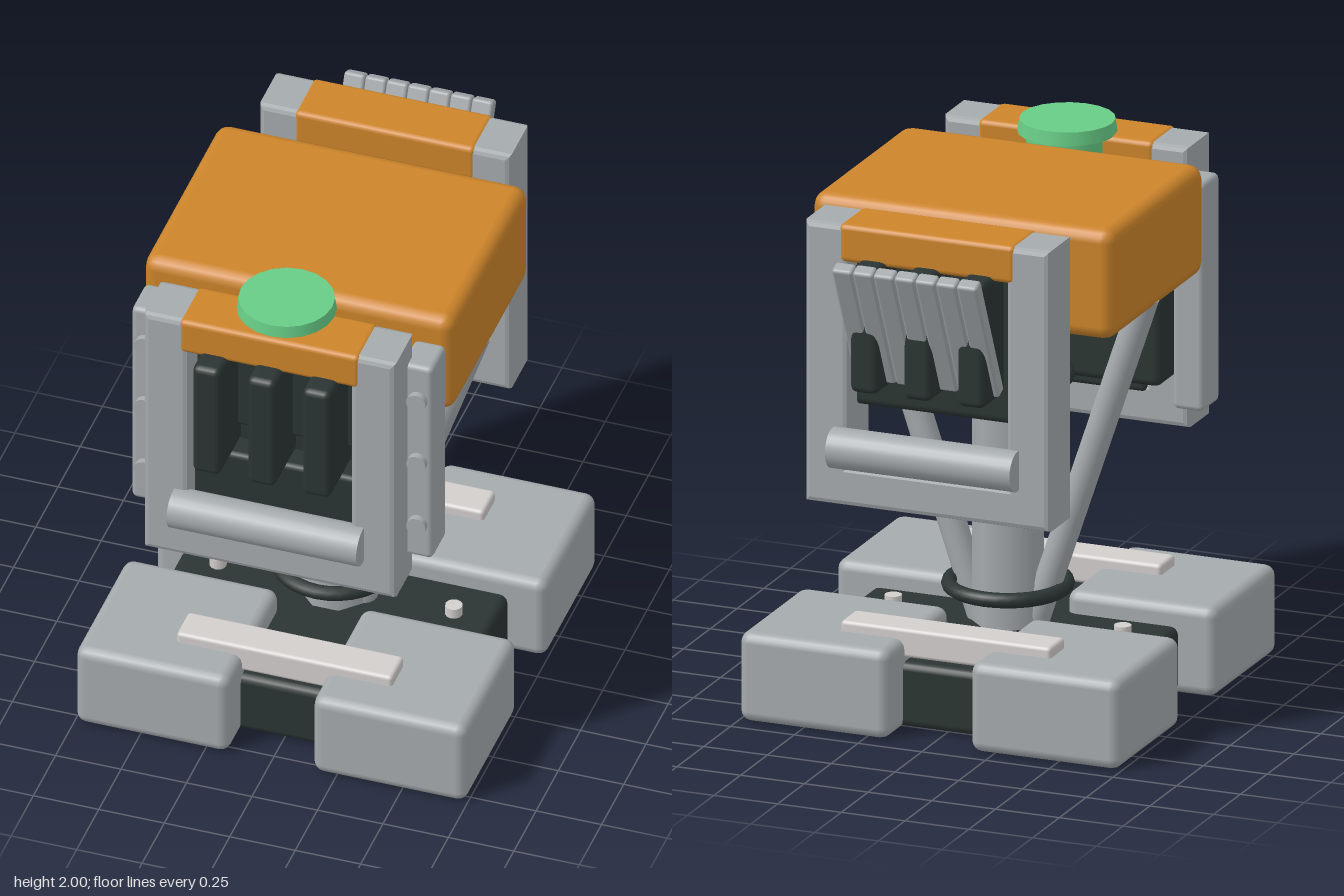
import * as THREE from 'three';
import { RoundedBoxGeometry } from 'three/addons/geometries/RoundedBoxGeometry.js';

const mat = (name, color) => {
  const m = new THREE.MeshStandardMaterial({ color });
  m.name = name;
  return m;
};

export function createModel() {
  const grey = mat('grey metal', 0xa5aaad);
  const orange = mat('orange paint', 0xcc842a);
  const dark = mat('dark rubber', 0x2b3533);
  const green = mat('green button', 0x67cc86);
  const pale = mat('pale trim', 0xd2cecc);
  const model = new THREE.Group();
  const CZ = 0.055; // centre line of base, column and head

  const add = (name, geo, material, x = 0, y = 0, z = 0, parent = model) => {
    const m = new THREE.Mesh(geo, material);
    m.name = name;
    m.position.set(x, y, z);
    parent.add(m);
    return m;
  };
  // chamfered box given by its limits on each axis
  const block = (name, material, x0, x1, y0, y1, z0, z1, r = 0.02, parent = model) =>
    add(name, new RoundedBoxGeometry(x1 - x0, y1 - y0, z1 - z0, 2, r), material,
      (x0 + x1) / 2, (y0 + y1) / 2, (z0 + z1) / 2, parent);
  // round bar between two points
  const rod = (name, a, b, r, material, parent = model) => {
    const dir = b.clone().sub(a);
    const mid = a.clone().add(b).multiplyScalar(0.5);
    const m = add(name, new THREE.CylinderGeometry(r, r, dir.length(), 16), material, mid.x, mid.y, mid.z, parent);
    m.quaternion.setFromUnitVectors(new THREE.Vector3(0, 1, 0), dir.normalize());
    return m;
  };

  // base with four feet and two cross strips
  block('base', dark, -0.6, 0.6, 0.01, 0.255, CZ - 0.6, CZ + 0.6, 0.03);
  for (const sz of [-1, 1]) {
    for (const sx of [-1, 1]) {
      const x = sx * 0.453, z = CZ + sz * 0.452;
      block('foot', grey, x - 0.293, x + 0.293, 0, 0.34, z - 0.293, z + 0.293, 0.04);
    }
    const z = CZ + sz * 0.515;
    block('crossStrip', pale, -0.412, 0.412, 0.27, 0.38, z - 0.07, z + 0.07, 0.015);
  }

  // column, rings, braces and base bolts
  const column = add('column', new THREE.CylinderGeometry(0.13, 0.13, 1.34, 8), grey, 0, 0.9, CZ);
  column.rotation.y = Math.PI / 8;
  for (const y of [0.4, 0.8, 1.195, 1.49]) {
    const ring = add('columnRing', new THREE.TorusGeometry(0.215, 0.028, 10, 32), dark, 0, y, CZ);
    ring.rotation.x = Math.PI / 2;
  }
  for (const s of [-1, 1]) {
    rod('brace', new THREE.Vector3(s * 0.1, 0.25, CZ), new THREE.Vector3(s * 0.54, 1.56, CZ), 0.052, grey);
    add('baseBolt', new THREE.CylinderGeometry(0.032, 0.032, 0.05, 12), pale, s * 0.45, 0.27, CZ);
  }

  // head block
  block('head', orange, -0.592, 0.592, 1.52, 1.94, CZ - 0.435, CZ + 0.435, 0.05);

  // open frame panel; local z = 0 is its mid depth and +z its outer side
  const frameShape = new THREE.Shape();
  frameShape.moveTo(-0.46, 0.9).lineTo(0.46, 0.9).lineTo(0.46, 1.93).lineTo(-0.46, 1.93).closePath();
  const opening = new THREE.Path();
  opening.moveTo(-0.33, 1.01).lineTo(-0.33, 1.84).lineTo(0.33, 1.84).lineTo(0.33, 1.01).closePath();
  frameShape.holes.push(opening);
  const frameGeo = new THREE.ExtrudeGeometry(frameShape, {
    depth: 0.174, bevelEnabled: true, bevelThickness: 0.02, bevelSize: 0.02, bevelSegments: 2,
  });
  frameGeo.translate(0, 0, -0.087);

  const panel = (name) => {
    const g = new THREE.Group();
    g.name = name;
    model.add(g);
    add('frame', frameGeo, grey, 0, 0, 0, g);
    block('frameHeader', orange, -0.345, 0.345, 1.81, 1.954, -0.111, 0.111, 0.02, g);
    for (const x of [-0.21, 0, 0.21]) {
      block('ventBar', dark, x - 0.054, x + 0.054, 1.35, 1.83, -0.06, 0.203, 0.025, g);
    }
    const roller = add('roller', new THREE.CylinderGeometry(0.076, 0.076, 0.724, 24), grey, 0, 1.105, 0.12, g);
    roller.rotation.z = Math.PI / 2;
    return g;
  };

  // front panel with wide core and bolted side rails
  const front = panel('frontPanel');
  front.position.z = 0.7;
  block('core', dark, -0.43, 0.43, 1.07, 1.79, -0.25, -0.07, 0.03, front);
  block('coreUpper', dark, -0.32, 0.32, 1.44, 1.83, -0.12, 0, 0.02, front);
  block('coreLower', dark, -0.32, 0.32, 1.0, 1.33, -0.12, 0.03, 0.02, front);
  for (const s of [-1, 1]) {
    const x = s * 0.515;
    block('sideRail', grey, x - 0.06, x + 0.06, 0.98, 1.85, -0.195, -0.035, 0.02, front);
    for (const y of [1.135, 1.42, 1.7]) {
      const bolt = add('railBolt', new THREE.CylinderGeometry(0.037, 0.037, 0.04, 16), grey, s * 0.52, y, -0.03, front);
      bolt.rotation.x = Math.PI / 2;
    }
  }

  // back panel with narrow core and a flared row of slats
  const back = panel('backPanel');
  back.position.z = -0.597;
  back.rotation.y = Math.PI;
  block('core', dark, -0.35, 0.35, 1.24, 1.82, -0.223, 0.02, 0.03, back);
  const slats = new THREE.Group();
  slats.name = 'slats';
  slats.position.set(0, 1.62, 0.19);
  slats.rotation.x = Math.atan2(0.2, 0.44);
  back.add(slats);
  for (let i = -3; i <= 3; i++) {
    const x = i * 0.0815;
    block('slat', grey, x - 0.04, x + 0.04, -0.265, 0.265, -0.027, 0.027, 0.012, slats);
  }

  // push button on the front panel
  add('buttonStem', new THREE.CylinderGeometry(0.15, 0.15, 0.12, 20), green, 0, 1.905, 0.61);
  add('buttonCap', new THREE.CylinderGeometry(0.175, 0.182, 0.05, 20), green, 0, 1.975, 0.61);

  return model;
}
